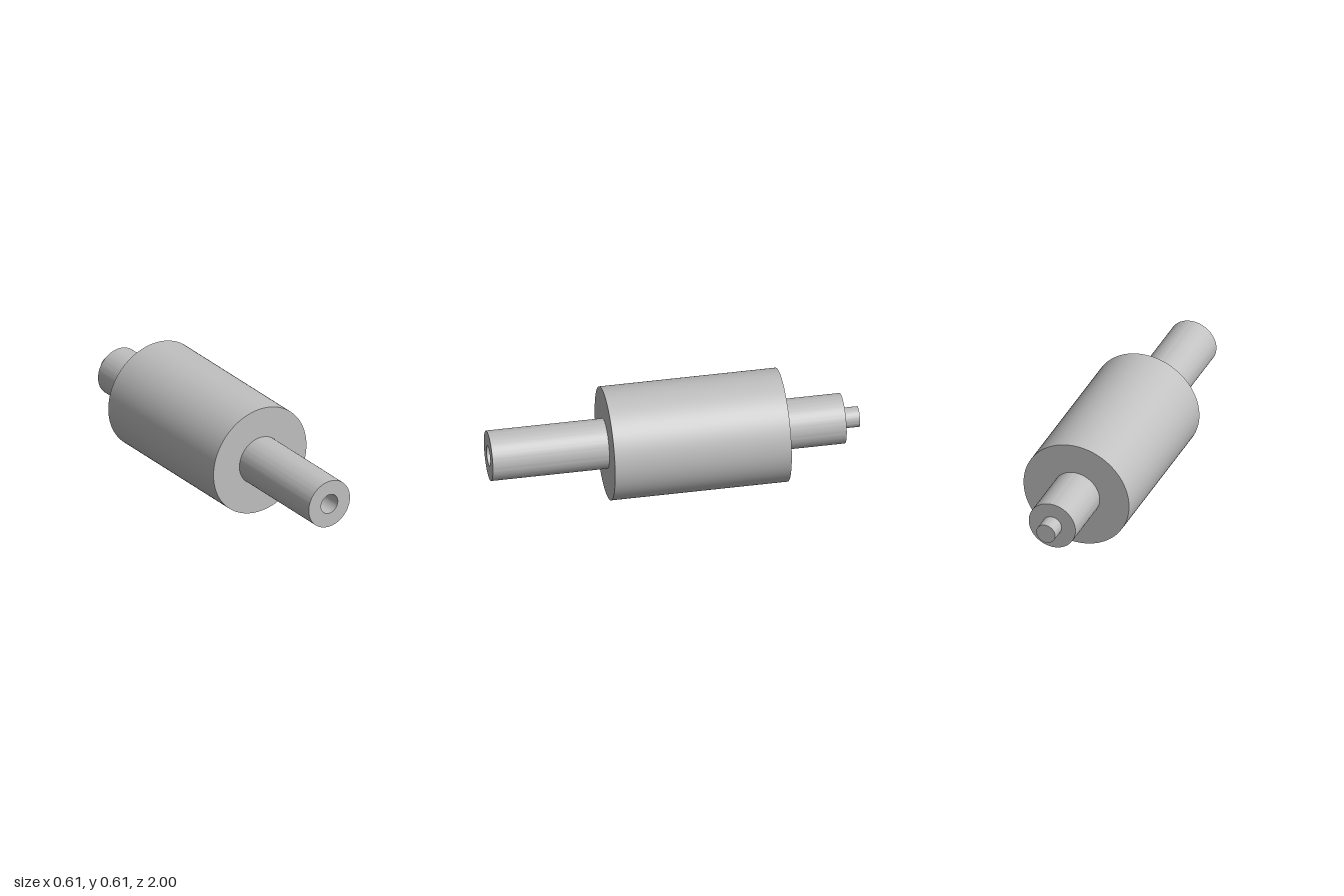
import * as THREE from 'three';
import { toCreasedNormals } from 'three/addons/utils/BufferGeometryUtils.js';

const ROLLER_R = 0.305, SHAFT_R = 0.135, PIN_R = 0.055;
const BACK = -0.585, FRONT = 0.37; // ends of the roller body
const REAR_END = -0.913, HOLE_DEPTH = 0.17;

export function createModel() {
  const group = new THREE.Group();
  const steel = new THREE.MeshStandardMaterial({ color: 0xc0c0c0 });
  steel.name = 'steel grey';

  // Turns a [radius, z] outline, listed from back to front, around the z axis
  function turned(name, outline) {
    const points = outline.map(([r, z]) => new THREE.Vector2(r, z));
    const geometry = new THREE.LatheGeometry(points, 96).rotateX(Math.PI / 2);
    const mesh = new THREE.Mesh(toCreasedNormals(geometry, 0.6), steel);
    mesh.name = name;
    mesh.position.y = ROLLER_R;
    group.add(mesh);
  }

  // Solid pin at the back end
  turned('pin', [[0, -1], [PIN_R, -1], [PIN_R, REAR_END]]);

  // Short rear shaft with its shoulder around the pin
  turned('rearShaft', [[PIN_R, REAR_END], [SHAFT_R, REAR_END], [SHAFT_R, BACK]]);

  // Wide roller body with ring-shaped ends
  turned('rollerBody', [[SHAFT_R, BACK], [ROLLER_R, BACK], [ROLLER_R, FRONT], [SHAFT_R, FRONT]]);

  // Long front shaft with a blind socket in its end
  turned('frontShaft', [
    [SHAFT_R, FRONT], [SHAFT_R, 1], [PIN_R, 1], [PIN_R, 1 - HOLE_DEPTH], [0, 1 - HOLE_DEPTH],
  ]);

  return group;
}
